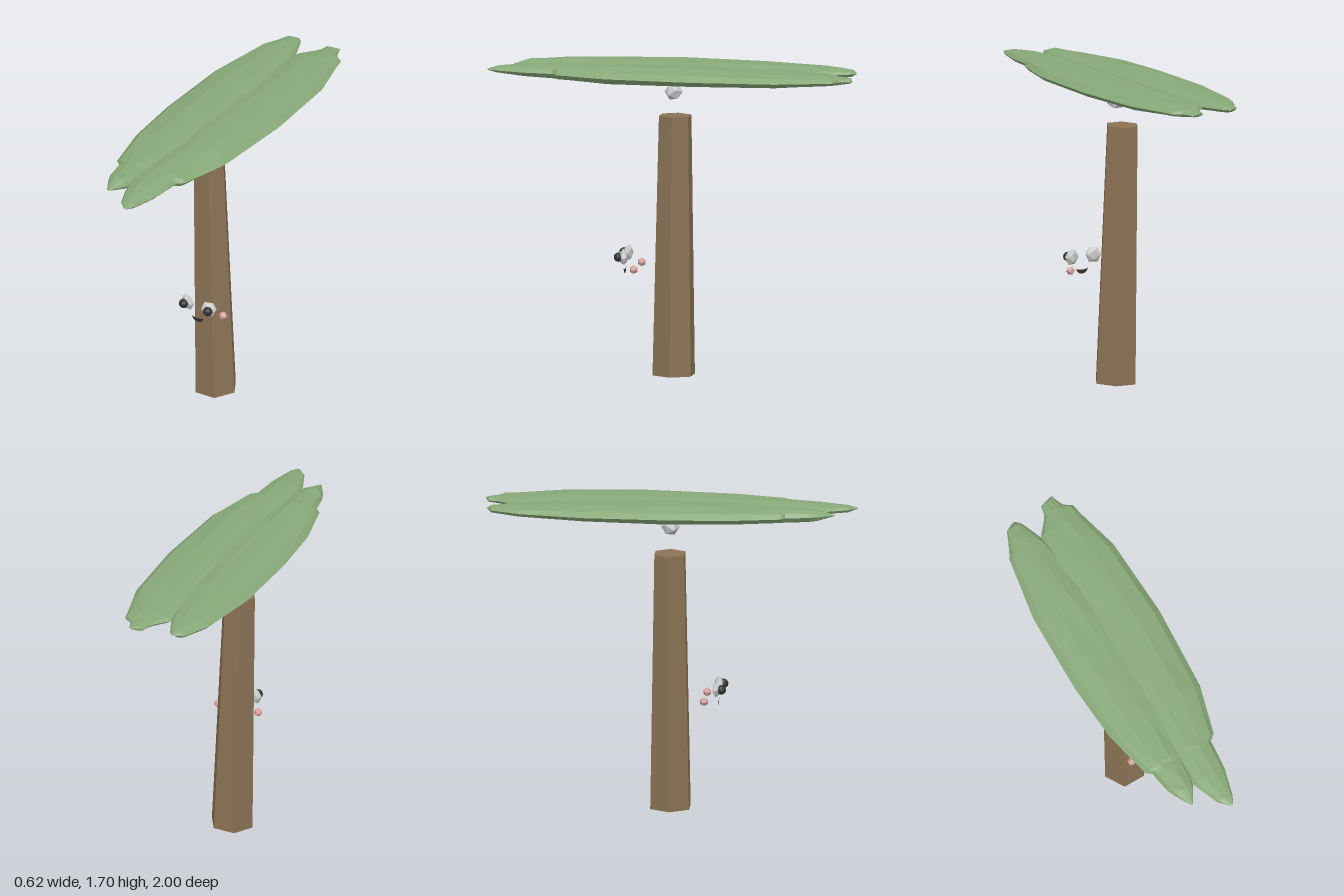
import * as THREE from 'three';

const mat = (color, side = THREE.FrontSide) =>
  new THREE.MeshStandardMaterial({ color, flatShading: true, side });

const bark = mat(0x8b7355), leaf = mat(0x87a878), grey = mat(0xcccccc);
const dark = mat(0x333333), pink = mat(0xd9a0a0), lip = mat(0x333333, THREE.DoubleSide);

function add(parent, name, geometry, material, x = 0, y = 0, z = 0) {
  const mesh = new THREE.Mesh(geometry, material);
  mesh.name = name;
  mesh.position.set(x, y, z);
  parent.add(mesh);
  return mesh;
}

// Flat faceted frond; each row is [z, smallest x, largest x]
function frondGeometry(rows, sides = 10) {
  const pos = [], index = [];
  rows.forEach(([z, x0, x1], i) => {
    const tip = i === 0 || i === rows.length - 1;
    const thick = tip ? 0.002 : 0.05 * Math.sqrt(1 - z * z * 0.97);
    for (let j = 0; j < sides; j++) {
      const a = (j / sides) * Math.PI * 2;
      const bump = 1 - 0.06 * (1 + Math.sin(i * 2.3 + j * 4.1));
      pos.push(
        (x0 + x1) / 2 + ((x1 - x0) / 2) * Math.cos(a),
        1.65 - 0.005 * z + thick * bump * 1.06 * Math.sin(a),
        z
      );
      if (i < rows.length - 1) {
        const p = i * sides + j, q = i * sides + ((j + 1) % sides);
        index.push(p, q, p + sides, q, q + sides, p + sides);
      }
    }
  });
  const g = new THREE.BufferGeometry();
  g.setAttribute('position', new THREE.Float32BufferAttribute(pos, 3));
  g.setIndex(index);
  g.computeVertexNormals();
  return g;
}

export function createModel() {
  const group = new THREE.Group();
  group.name = 'palmTree';

  // Leaning six-sided trunk
  const trunk = add(group, 'trunk',
    new THREE.CylinderGeometry(0.092, 0.12, 1.402, 6).rotateY(Math.PI / 6), bark, -0.021, 0.707, 0);
  trunk.rotation.z = 0.03;

  // Nut between trunk and fronds
  add(group, 'nut', new THREE.IcosahedronGeometry(0.05, 0).rotateX(0.553), grey, 0, 1.545, 0);

  // Two overlapping fronds forming the crown
  add(group, 'rightFrond', frondGeometry([
    [-0.975, -0.12, -0.105], [-0.95, -0.17, -0.08], [-0.88, -0.2, -0.05], [-0.8, -0.24, -0.02],
    [-0.45, -0.3, 0.05], [0, -0.31, 0.07], [0.33, -0.29, 0.05], [0.61, -0.23, 0],
    [0.63, -0.2, -0.02], [0.75, -0.18, -0.03], [0.8, -0.16, -0.045], [0.89, -0.11, -0.1],
  ]), leaf);
  add(group, 'leftFrond', frondGeometry([
    [-1, 0.13, 0.14], [-0.98, 0.06, 0.145], [-0.93, 0.05, 0.165], [-0.9, 0.03, 0.21],
    [-0.83, -0.03, 0.225], [-0.6, -0.06, 0.285], [-0.15, -0.08, 0.305], [0.33, -0.07, 0.275],
    [0.6, -0.05, 0.2], [0.63, -0.05, 0.165], [0.8, -0.04, 0.15], [0.95, 0.02, 0.11],
    [1, 0.07, 0.085],
  ]), leaf);

  // Face floating in front of the trunk, mirrored about its own middle
  const face = new THREE.Group();
  face.name = 'face';
  face.position.set(0.053, 0, 0);
  group.add(face);
  for (const [side, s] of [['left', 1], ['right', -1]]) {
    const eye = add(face, side + 'Eye',
      new THREE.IcosahedronGeometry(0.047, 0).scale(1, 1, 0.5), grey, s * 0.068, 0.658, 0.25);
    eye.rotation.y = s * 0.25;
    add(face, side + 'Pupil', new THREE.IcosahedronGeometry(0.026, 1), dark, s * 0.077, 0.658, 0.275);
    add(face, side + 'Cheek', new THREE.IcosahedronGeometry(0.024, 0), pink, s * 0.117, 0.6, 0.185);
  }

  // Thin crescent mouth
  const smile = new THREE.Shape();
  smile.moveTo(-0.037, 0.588);
  smile.quadraticCurveTo(0, 0.573, 0.037, 0.588);
  smile.quadraticCurveTo(0.03, 0.56, 0, 0.559);
  smile.quadraticCurveTo(-0.03, 0.56, -0.037, 0.588);
  add(face, 'mouth', new THREE.ShapeGeometry(smile, 4), lip, 0, 0, 0.255);

  return group;
}
